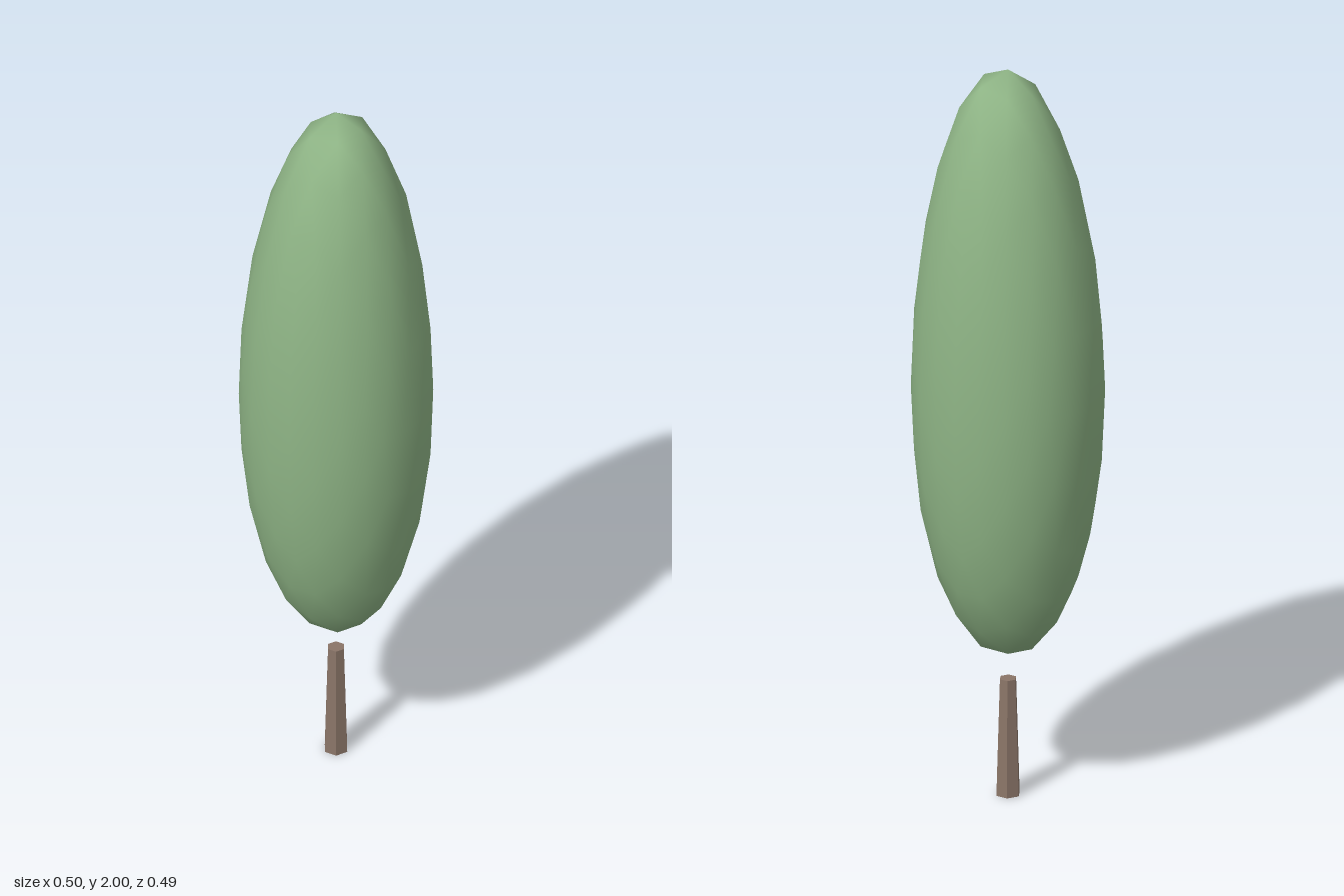
import * as THREE from 'three';
import { mergeVertices } from 'three/addons/utils/BufferGeometryUtils.js';

// Smooth, elongated egg made from a subdivided icosahedron
function foliageGeometry() {
  const ball = new THREE.IcosahedronGeometry(1, 3);
  ball.deleteAttribute('uv');
  ball.deleteAttribute('normal');
  const geometry = mergeVertices(ball, 1e-4);
  const pos = geometry.attributes.position;
  const v = new THREE.Vector3();
  for (let i = 0; i < pos.count; i++) {
    v.fromBufferAttribute(pos, i);
    const sag = 0.07 * (1 - v.y * v.y); // widest part sits below the middle
    const lean = 0.045 * v.x * Math.max(v.y, 0); // crown slightly uneven
    pos.setXYZ(i, v.x * 0.25, 1.193 + v.y * 0.807 - sag + lean, v.z * 0.245);
  }
  geometry.computeVertexNormals();
  return geometry;
}

export function createModel() {
  const tree = new THREE.Group();
  tree.name = 'tree';

  const foliage = new THREE.Mesh(
    foliageGeometry(),
    new THREE.MeshStandardMaterial({ color: 0x8fb586 })
  );
  foliage.name = 'foliage';

  // Tapered six-sided trunk, ending just below the foliage
  const trunk = new THREE.Mesh(
    new THREE.CylinderGeometry(0.023, 0.033, 0.32, 6),
    new THREE.MeshStandardMaterial({ color: 0x8a7568, flatShading: true })
  );
  trunk.name = 'trunk';
  trunk.position.y = 0.16;
  trunk.rotation.y = Math.PI / 6;

  tree.add(foliage, trunk);
  return tree;
}
